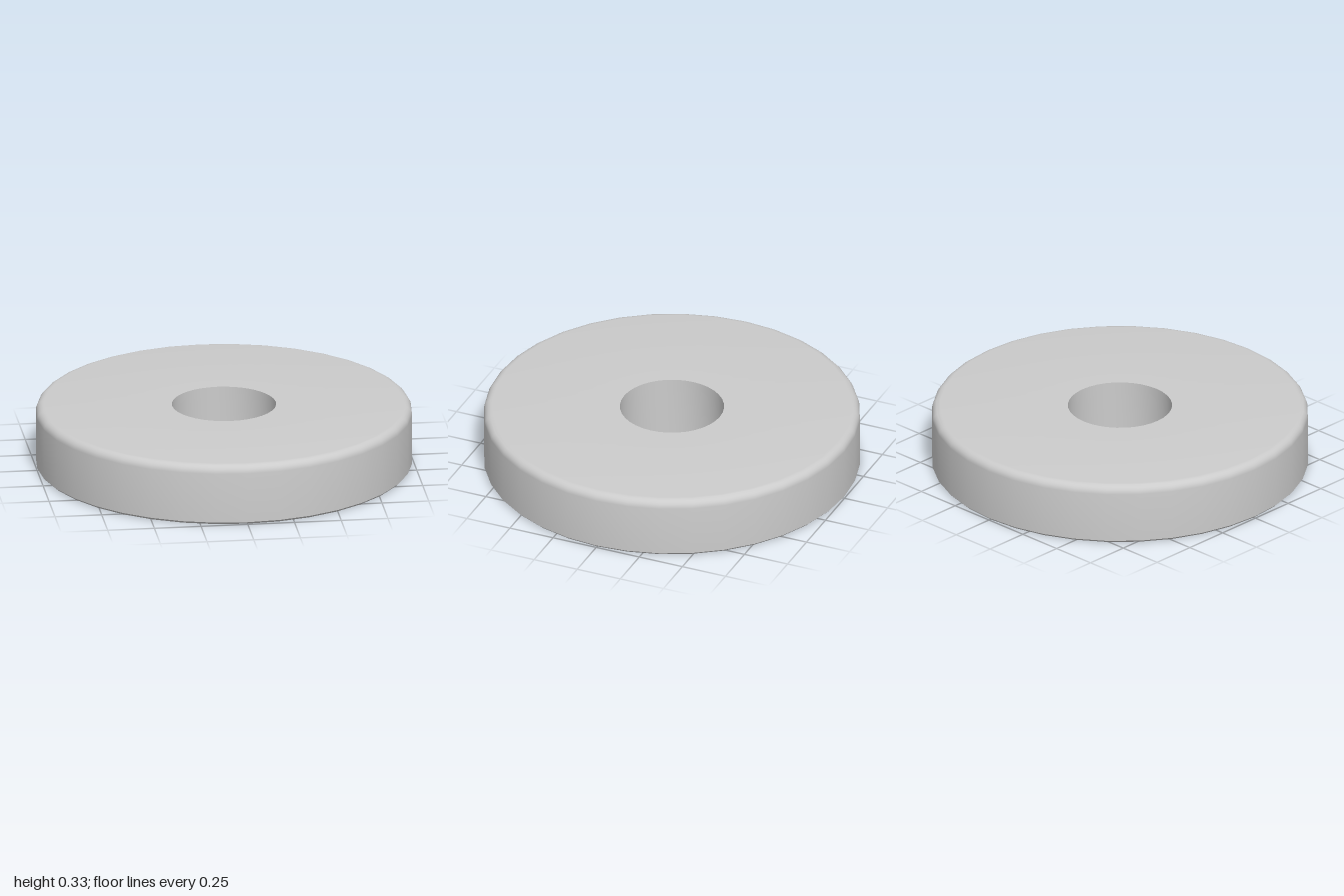
import * as THREE from 'three';
import { toCreasedNormals } from 'three/addons/utils/BufferGeometryUtils.js';

const SIDES = 36;
const HEIGHT = 0.33;
const BORE = 0.277;
const CORE = 0.84; // outer radius of the inner core
const RIM = 0.88; // inner radius of the outer rim
const DEPTH = 0.21; // depth of the groove and the pin holes
const PIN_RADIUS = 0.075;
const PIN_OFFSET = 0.69;

export function createModel() {
  const group = new THREE.Group();
  const material = new THREE.MeshStandardMaterial({ color: 0xcccccc });

  const add = (name, geometry) => {
    const mesh = new THREE.Mesh(geometry, material);
    mesh.name = name;
    group.add(mesh);
    return mesh;
  };
  const lathe = (points, sides) =>
    toCreasedNormals(
      new THREE.LatheGeometry(points.map(([r, y]) => new THREE.Vector2(r, y)), sides),
      0.5
    );

  // Rounded upper edge
  const fillet = [];
  const round = 0.045;
  const steps = 6;
  for (let i = 0; i <= steps; i++) {
    const a = (i / steps) * Math.PI / 2;
    fillet.push([1 - round + round * Math.cos(a), HEIGHT - round + round * Math.sin(a)]);
  }

  // Body: groove, rim, chamfered outer wall, top face and bore
  add('discBody', lathe([
    [CORE, 0], [CORE, DEPTH], [RIM, DEPTH], [RIM, 0],
    [0.988, 0], [1, 0.012],
    ...fillet,
    [BORE, HEIGHT], [BORE, 0],
  ], SIDES));

  // Underside of the core, pierced by the bore and two pin holes
  const face = new THREE.Shape().absarc(0, 0, CORE, 0, Math.PI * 2);
  const addHole = (y, r) =>
    face.holes.push(new THREE.Path().absarc(0, y, r, 0, Math.PI * 2, true));
  addHole(0, BORE);
  for (const side of [-1, 1]) addHole(side * PIN_OFFSET, PIN_RADIUS);
  add('coreUnderside', new THREE.ShapeGeometry(face, SIDES).rotateX(Math.PI / 2));

  // Blind pin holes
  const pin = lathe([[0, DEPTH], [PIN_RADIUS, DEPTH], [PIN_RADIUS, 0]], SIDES);
  for (const side of [-1, 1]) {
    add(side > 0 ? 'frontPinHole' : 'backPinHole', pin).position.z = side * PIN_OFFSET;
  }

  return group;
}
